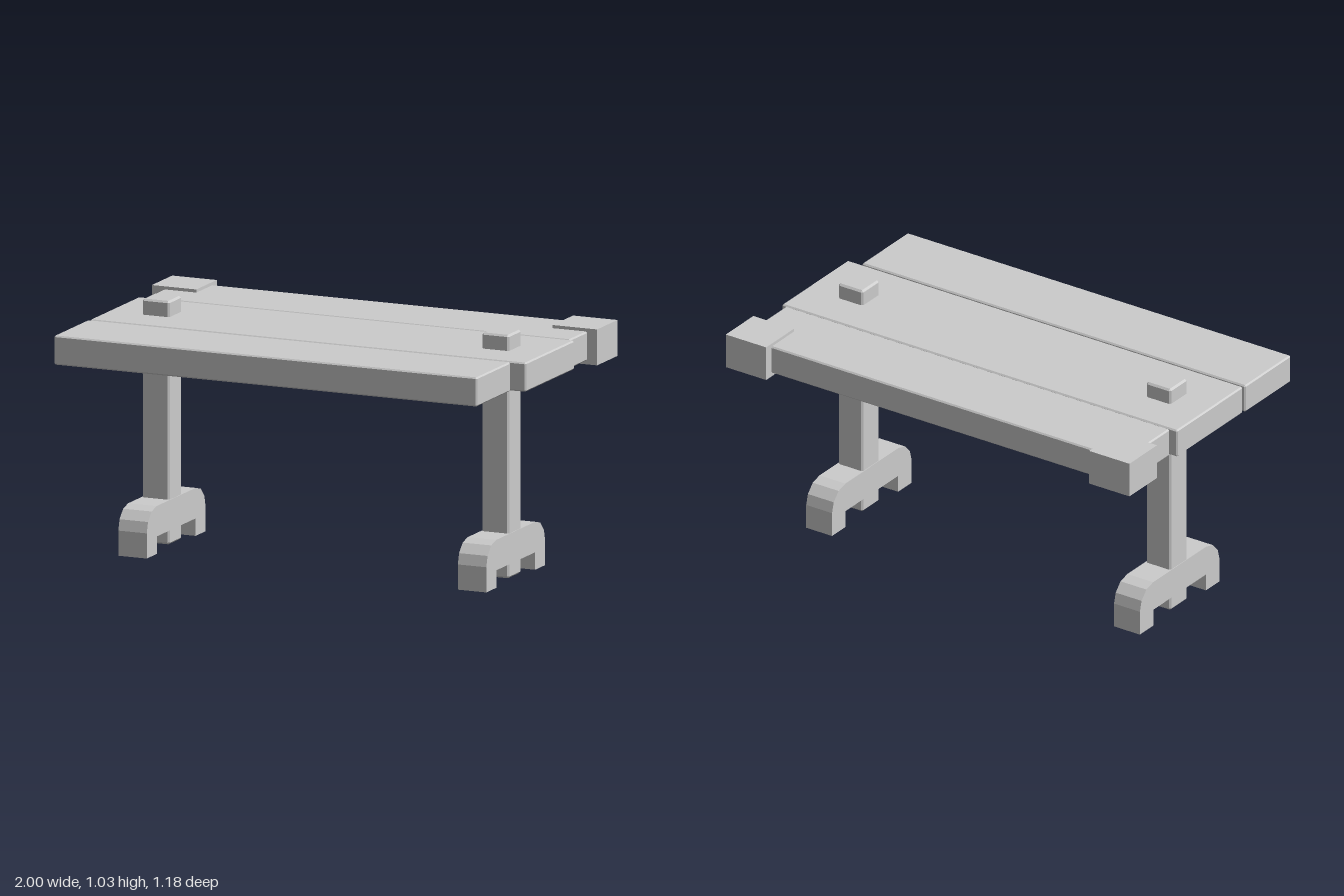
import * as THREE from 'three';
import { ConvexGeometry } from 'three/addons/geometries/ConvexGeometry.js';

const material = new THREE.MeshStandardMaterial({ color: 0xcccccc, flatShading: true });

// Box given by its min and max corners, with every edge chamfered by c
function chamferedBox(min, max, c) {
  const half = max.map((v, i) => (v - min[i]) / 2);
  const points = [];
  for (const sx of [-1, 1]) for (const sy of [-1, 1]) for (const sz of [-1, 1]) {
    for (let axis = 0; axis < 3; axis++) {
      const p = [sx, sy, sz].map((s, i) => s * (half[i] - (i === axis ? 0 : c)));
      points.push(new THREE.Vector3(...p));
    }
  }
  return new ConvexGeometry(points).translate(...min.map((v, i) => v + half[i]));
}

// Arched foot: profile in (z, y), extruded along x and centred on x = 0
function footGeometry(width) {
  const mid = 0.017;
  const outer = [[0.285, 0], [0.285, 0.105], [0.273, 0.15], [0.238, 0.187], [0.19, 0.2]];
  const inner = [[0.188, 0.073], [0.188, 0]];
  const right = [...inner, ...outer];
  const left = right.map(([z, y]) => [-z, y]).reverse();
  // shape x is -z, so that the extrusion turns onto +x
  const shape = new THREE.Shape([...right, ...left].map(([z, y]) => new THREE.Vector2(z - mid, y)));
  return new THREE.ExtrudeGeometry(shape, { depth: width, bevelEnabled: false })
    .translate(0, 0, -width / 2)
    .rotateY(Math.PI / 2);
}

export function createModel() {
  const model = new THREE.Group();
  model.name = 'plankTable';
  const add = (name, geometry, parent = model) => {
    const mesh = new THREE.Mesh(geometry, material);
    mesh.name = name;
    parent.add(mesh);
    return mesh;
  };

  // Tabletop: three planks of uneven length
  const planks = [
    ['frontPlank', -0.985, 0.915, 0.262, 0.59],
    ['middlePlank', -0.98, 0.978, -0.22, 0.252],
    ['backPlank', -0.947, 0.955, -0.552, -0.224],
  ];
  for (const [name, x0, x1, z0, z1] of planks) {
    add(name, chamferedBox([x0, 0.84, z0], [x1, 0.962, z1], 0.006));
  }

  // Square blocks on the back corners
  for (const [name, side] of [['leftCornerBlock', 1], ['rightCornerBlock', -1]]) {
    add(name, new THREE.BoxGeometry(0.2, 0.15, 0.198)).position.set(side * 0.9, 0.9, -0.491);
  }

  // Legs: a post passing through the top, standing on an arched foot
  for (const [name, x] of [['leftLeg', 0.76], ['rightLeg', -0.765]]) {
    const leg = new THREE.Group();
    leg.name = name;
    leg.position.x = x;
    add('post', chamferedBox([-0.061, 0.012, -0.045], [0.061, 1.028, 0.078], 0.008), leg);
    add('foot', footGeometry(0.128), leg);
    model.add(leg);
  }

  return model;
}
